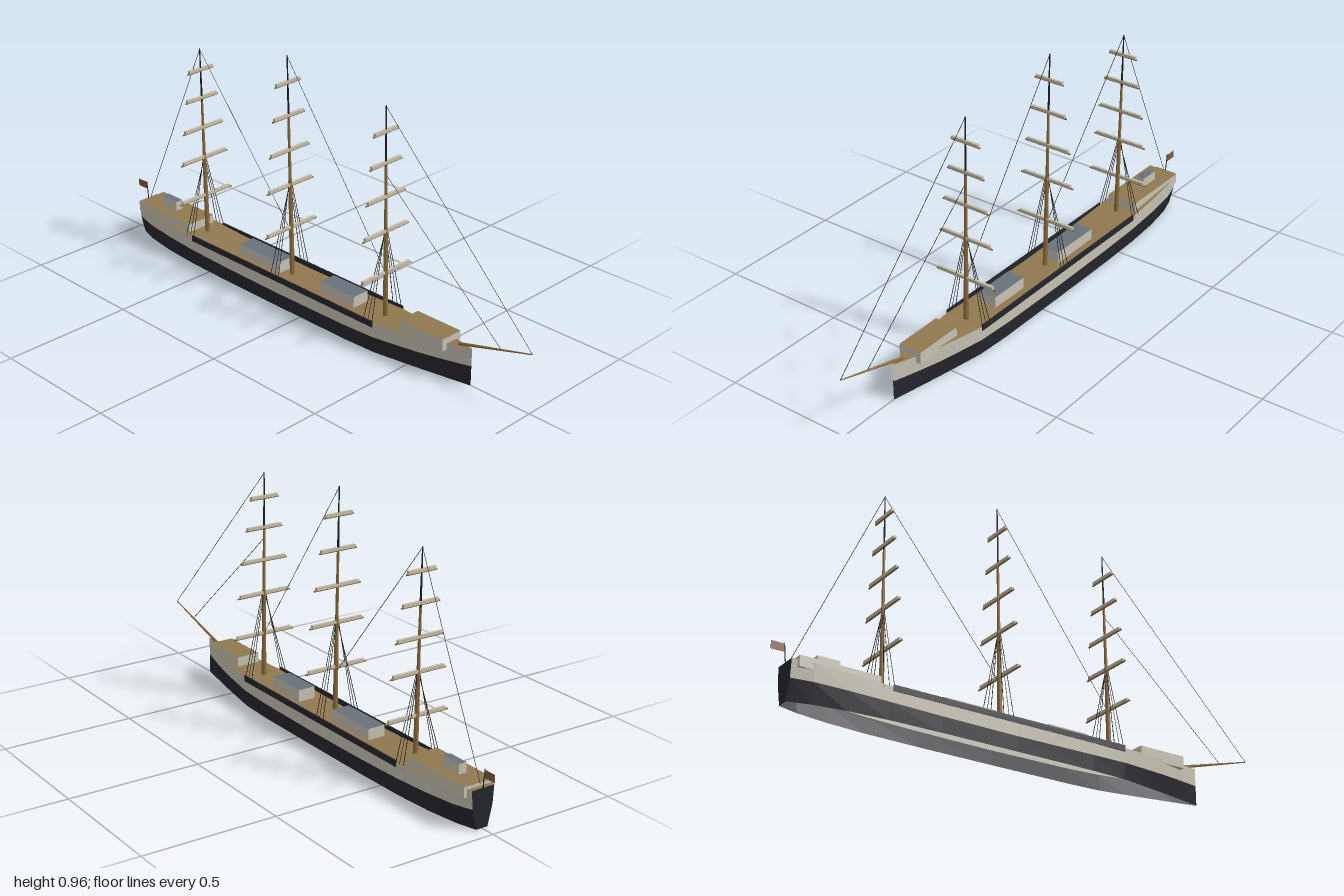
import * as THREE from 'three';

const mat = (name, color, extra = {}) => {
  const m = new THREE.MeshStandardMaterial({ color, ...extra });
  m.name = name;
  return m;
};

export function createModel() {
  const ship = new THREE.Group();
  ship.name = 'sailingShip';
  const two = { side: THREE.DoubleSide, flatShading: true };
  const black = mat('hullBlack', 0x25252d, two);
  const cream = mat('hullCream', 0xc6c1b2, two);
  const deckBrown = mat('deckBrown', 0x90784f, two);
  const slate = mat('roofSlate', 0x68727a);
  const spar = mat('sparBrown', 0x8c6c3c);
  const canvas = mat('furledCanvas', 0xc4bca8);
  const rope = mat('ropeBlack', 0x1f1d1c);
  const flagRed = mat('flagBrown', 0x80583f, two);

  const add = (parent, name, geo, material) => {
    const m = new THREE.Mesh(geo, material);
    m.name = name;
    parent.add(m);
    return m;
  };
  const V = (x, y, z) => new THREE.Vector3(x, y, z);

  // Round bar between two points
  const bar = (parent, name, a, b, ra, rb, material, sides = 6) => {
    const d = b.clone().sub(a);
    const m = add(parent, name, new THREE.CylinderGeometry(rb, ra, d.length(), sides), material);
    m.position.copy(a).addScaledVector(d, 0.5);
    m.quaternion.setFromUnitVectors(V(0, 1, 0), d.normalize());
    return m;
  };
  const line = (parent, name, a, b) => bar(parent, name, a, b, 0.0012, 0.0012, rope, 4);

  // Box with its own roof colour, from extents
  const box = (name, hw, y0, y1, z0, z1, side, roof = side) => {
    const geo = new THREE.BoxGeometry(hw * 2, y1 - y0, z1 - z0);
    const m = add(ship, name, geo, [side, side, roof, side, side, side]);
    m.position.set(0, (y0 + y1) / 2, (z0 + z1) / 2);
    return m;
  };

  // Hull stations: z, half breadth at deck, breadth factor at keel
  const stations = [
    [0.745, 0.002, 1], [0.65, 0.027, 0.75], [0.56, 0.047, 0.8], [0.46, 0.063, 0.87],
    [0.36, 0.077, 0.93], [0.22, 0.081, 0.96], [-0.1, 0.081, 0.97], [-0.4, 0.081, 0.96],
    [-0.6, 0.08, 0.92], [-0.75, 0.074, 0.85], [-0.87, 0.064, 0.7], [-0.945, 0.046, 0.5],
  ];
  const sheer = (z, base, rise) => base + rise * ((z + 0.1) / 0.845) ** 2;
  const rows = stations.map(([z, w, k]) => [
    V(w * k, 0, z),
    V(w * (0.6 + 0.4 * k) ** 0.5, sheer(z, 0.055, 0.02), z),
    V(w, sheer(z, 0.105, 0.037), z),
  ]);
  const flip = (p) => V(-p.x, p.y, p.z);

  // Surface from a list of four-cornered faces
  const faces = (name, quads, material) => {
    const geo = new THREE.BufferGeometry().setFromPoints(
      quads.flatMap(([a, b, c, d]) => [a, b, c, a, c, d]));
    geo.computeVertexNormals();
    return add(ship, name, geo, material);
  };
  const lower = [], upper = [], deck = [];
  for (let i = 0; i < rows.length - 1; i++) {
    const p = rows[i], q = rows[i + 1];
    [lower, upper].forEach((list, r) => {
      list.push([p[r], q[r], q[r + 1], p[r + 1]]);
      list.push([flip(p[r]), flip(p[r + 1]), flip(q[r + 1]), flip(q[r])]);
    });
    deck.push([p[2], q[2], flip(q[2]), flip(p[2])]);
  }
  faces('lowerHull', lower, black);
  faces('upperHull', upper, cream);
  faces('deck', deck, deckBrown);
  const s = rows[rows.length - 1];
  faces('transom', [0, 1].map((r) => [s[r], flip(s[r]), flip(s[r + 1]), s[r + 1]]), black);

  // Rails along the waist
  for (const side of [-1, 1]) {
    const rail = box('rail', 0.0025, 0.102, 0.125, -0.59, 0.36, black);
    rail.position.x = side * 0.079;
  }

  // Deckhouses
  box('forecastle', 0.046, 0.112, 0.158, 0.46, 0.655, cream, deckBrown);
  box('foreDeckhouse', 0.035, 0.1, 0.153, 0.06, 0.228, cream, slate);
  box('aftDeckhouse', 0.035, 0.1, 0.151, -0.37, -0.155, cream, slate);
  box('poopHouse', 0.062, 0.113, 0.152, -0.925, -0.627, cream, deckBrown);
  box('skylight', 0.016, 0.152, 0.189, -0.84, -0.755, cream, slate);

  // Masts: foot z, head z, head height, yard heights from the lowest
  const masts = [
    ['fore', 0.35, 0.334, 0.905, [0.282, 0.441, 0.571, 0.696, 0.811]],
    ['main', -0.12, -0.14, 0.958, [0.295, 0.463, 0.599, 0.731, 0.856]],
    ['mizzen', -0.59, -0.606, 0.86, [0.27, 0.426, 0.548, 0.667, 0.778]],
  ];
  const yardHalf = [0.13, 0.115, 0.099, 0.079, 0.062];
  const at = ([, z0, z1, h], y) => V(0, y, z0 + (z1 - z0) * (y - 0.1) / (h - 0.1));
  for (const m of masts) {
    const g = new THREE.Group();
    g.name = m[0] + 'Mast';
    ship.add(g);
    const h = m[3], j1 = h * 0.5, j2 = h * 0.76;
    bar(g, 'lowerMast', at(m, 0.09), at(m, j1), 0.0095, 0.007, spar, 8);
    bar(g, 'topmast', at(m, j1), at(m, j2), 0.006, 0.0045, spar, 8);
    bar(g, 'topgallantMast', at(m, j2), at(m, h), 0.004, 0.002, rope, 6);

    // Yards with furled sails lying on them
    m[4].forEach((y, i) => {
      const c = at(m, y), w = yardHalf[i];
      bar(g, 'yard', V(-w, y - 0.004, c.z), V(w, y - 0.004, c.z), 0.0032, 0.0032, spar);
      const sail = add(g, 'furledSail', new THREE.BoxGeometry(w * 1.82, 0.011, 0.011), canvas);
      sail.position.set(0, y + 0.003, c.z);
    });

    // Shrouds down to the rails
    for (const side of [-1, 1]) {
      [0.006, -0.014, -0.036].forEach((dz, i) =>
        line(g, 'shroud', at(m, h * 0.53 - i * 0.015), V(side * 0.079, 0.108, m[1] + dz)));
    }
  }

  // Bowsprit
  const tip = V(0, 0.225, 0.999);
  bar(ship, 'bowsprit', V(0, 0.14, 0.69), tip, 0.006, 0.002, spar, 8);

  // Stays
  const [fore, main, mizzen] = masts;
  line(ship, 'foreStay', at(fore, 0.903), tip);
  line(ship, 'innerForeStay', at(fore, 0.655), V(0, 0.19, 0.87));
  line(ship, 'mainStay', at(main, 0.955), at(fore, 0.28));
  line(ship, 'mizzenStay', at(mizzen, 0.858), at(main, 0.275));
  line(ship, 'backStay', at(mizzen, 0.858), V(0, 0.15, -0.93));

  // Ensign at the stern
  bar(ship, 'flagstaff', V(0, 0.13, -0.943), V(0, 0.21, -0.951), 0.002, 0.0015, rope);
  const flag = add(ship, 'flag', new THREE.BoxGeometry(0.002, 0.028, 0.048), flagRed);
  flag.position.set(0, 0.193, -0.975);

  return ship;
}
